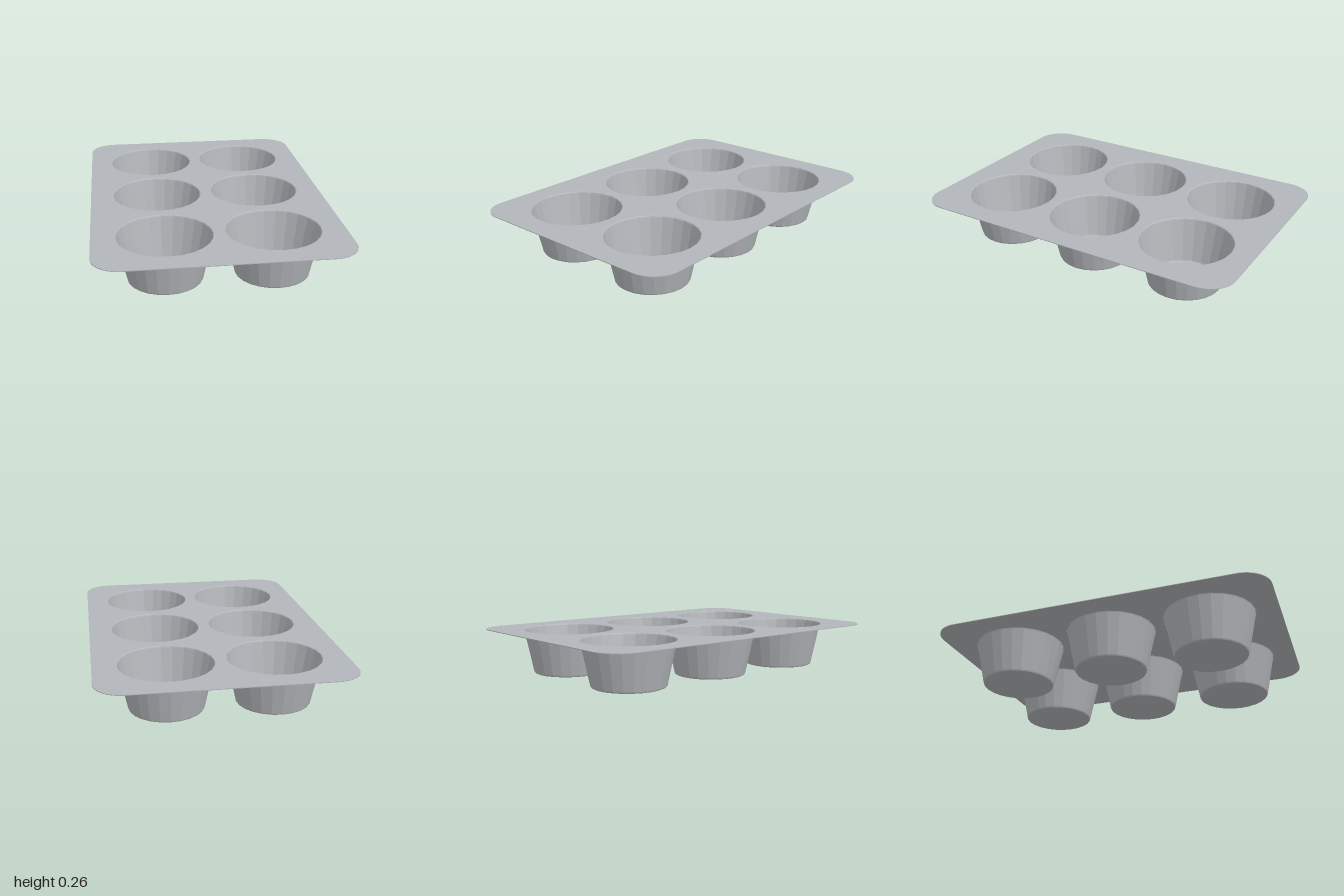
import * as THREE from 'three';

const HEIGHT = 0.26;
const SHEET = 0.004;
const RIM = 0.27;
const SIDES = 24;

// Faceted copy of a geometry
function faceted(geometry) {
  const flat = geometry.index ? geometry.toNonIndexed() : geometry;
  flat.computeVertexNormals();
  return flat;
}

// Rectangle with rounded corners, centred on the origin
function roundedRect(hw, hh, r) {
  const s = new THREE.Shape();
  s.absarc(hw - r, hh - r, r, 0, Math.PI / 2);
  s.absarc(-hw + r, hh - r, r, Math.PI / 2, Math.PI);
  s.absarc(-hw + r, -hh + r, r, Math.PI, Math.PI * 1.5);
  s.absarc(hw - r, -hh + r, r, Math.PI * 1.5, Math.PI * 2);
  s.closePath();
  return s;
}

// Round hole whose corners line up with the cup facets
function cupHole(x, y) {
  const points = [];
  for (let i = 0; i < SIDES; i++) {
    const a = -(i / SIDES) * Math.PI * 2;
    points.push(new THREE.Vector2(x + RIM * Math.cos(a), y + RIM * Math.sin(a)));
  }
  return new THREE.Path(points);
}

export function createModel() {
  const model = new THREE.Group();
  model.name = 'muffinTin';
  const metal = new THREE.MeshStandardMaterial({ color: 0xb2b5b9, side: THREE.DoubleSide });
  metal.name = 'greyMetal';

  const centres = [];
  for (const x of [-0.3, 0.3]) for (const z of [-0.6, 0, 0.6]) centres.push([x, z]);

  // Flat tray with six openings
  const outline = roundedRect(0.7, 1, 0.16);
  for (const [x, z] of centres) outline.holes.push(cupHole(x, -z));
  const trayGeometry = new THREE.ExtrudeGeometry(outline, { depth: SHEET, bevelEnabled: false, curveSegments: 8 });
  trayGeometry.rotateX(-Math.PI / 2);
  const tray = new THREE.Mesh(trayGeometry, metal);
  tray.name = 'tray';
  tray.position.y = HEIGHT - SHEET;
  model.add(tray);

  // Tapered cups with a small bevel at the base and a rolled lip at the rim
  const profile = [[0, 0], [0.203, 0], [0.209, 0.003], [0.212, 0.01], [0.263, 0.251], [0.265, 0.257], [RIM, HEIGHT]]
    .map(([r, y]) => new THREE.Vector2(r, y));
  const cupGeometry = faceted(new THREE.LatheGeometry(profile, SIDES));
  for (const [x, z] of centres) {
    const cup = new THREE.Mesh(cupGeometry, metal);
    cup.name = 'cup';
    cup.position.set(x, 0, z);
    model.add(cup);
  }
  return model;
}
